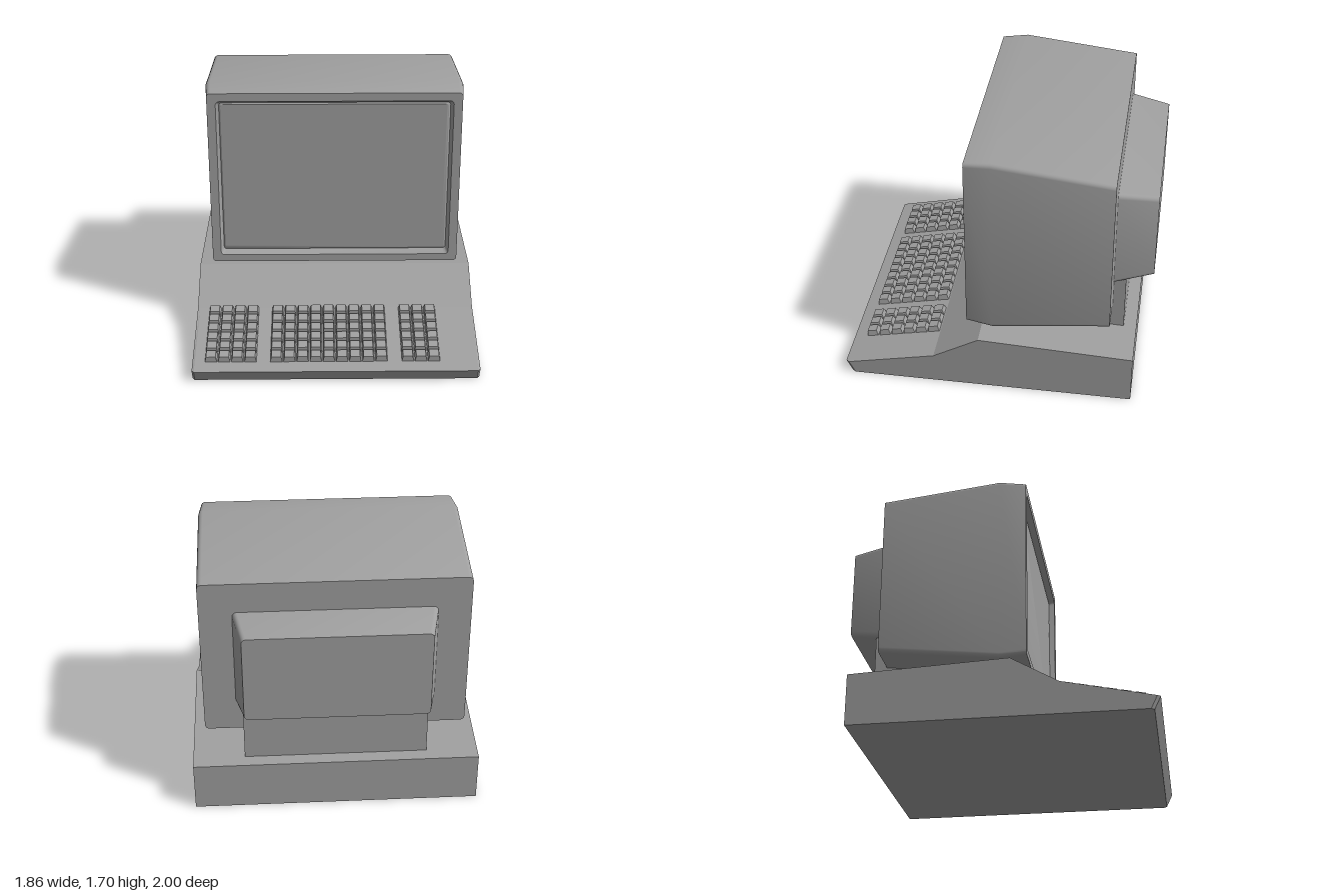
import * as THREE from 'three';
import { toCreasedNormals } from 'three/addons/utils/BufferGeometryUtils.js';

// Rounded rectangle ring, counter-clockwise seen from +z
function ring(halfW, y0, y1, r, z, steps = 4) {
  const pts = [];
  const corners = [[1, y0 + r, -90], [1, y1 - r, 0], [-1, y1 - r, 90], [-1, y0 + r, 180]];
  for (const [s, cy, start] of corners) {
    for (let i = 0; i <= steps; i++) {
      const a = THREE.MathUtils.degToRad(start + (90 * i) / steps);
      pts.push(new THREE.Vector3(s * (halfW - r) + r * Math.cos(a), cy + r * Math.sin(a), z));
    }
  }
  return pts;
}

// Skin over rings ordered from the front towards the back, with optional end caps
function loft(rings, capFront, capBack) {
  const v = [];
  const tri = (...p) => p.forEach((q) => v.push(q.x, q.y, q.z));
  const n = rings[0].length;
  for (let j = 0; j < n; j++) {
    const k = (j + 1) % n;
    for (let i = 0; i < rings.length - 1; i++) {
      const [A, B] = [rings[i], rings[i + 1]];
      tri(A[j], B[j], A[k]);
      tri(A[k], B[j], B[k]);
    }
    const first = rings[0], last = rings[rings.length - 1];
    if (capFront && j > 0 && j < n - 1) tri(first[0], first[j], first[k]);
    if (capBack && j > 0 && j < n - 1) tri(last[0], last[k], last[j]);
  }
  const g = new THREE.BufferGeometry();
  g.setAttribute('position', new THREE.Float32BufferAttribute(v, 3));
  return toCreasedNormals(g, 0.5);
}

export function createModel() {
  const model = new THREE.Group();
  model.name = 'computerTerminal';
  const grey = new THREE.MeshStandardMaterial({ color: 0xa0a0a0 });
  grey.name = 'grey';
  const add = (name, geometry, parent = model) => {
    const mesh = new THREE.Mesh(geometry, grey);
    mesh.name = name;
    parent.add(mesh);
    return mesh;
  };

  // Base: side profile (z, y) swept across x, front corners chamfered
  const profile = [[0.96, 0], [1, 0.083], [0.4, 0.21], [0.1, 0.383], [-0.91, 0.336], [-0.91, 0]];
  const shape = new THREE.Shape(profile.map(([z, y]) => new THREE.Vector2(z, y)));
  const base = new THREE.ExtrudeGeometry(shape, { depth: 3, steps: 3, bevelEnabled: false });
  base.translate(0, 0, -1.5).rotateY(-Math.PI / 2);
  const p = base.attributes.position;
  for (let i = 0; i < p.count; i++) {
    const x = p.getX(i);
    const end = Math.abs(x) > 1;
    p.setX(i, Math.sign(x) * (end ? 0.93 : 0.915));
    if (end && p.getZ(i) > 0.9) p.setZ(i, p.getZ(i) - 0.02);
  }
  base.computeVertexNormals();
  add('base', base);

  // Neck between base and monitor
  const neck = new THREE.BoxGeometry(1.19, 0.42, 0.845);
  neck.translate(0, 0.55, -0.4025);
  add('neck', neck);

  // Monitor
  const monitor = new THREE.Group();
  monitor.name = 'monitor';
  model.add(monitor);
  add('housing', loft([
    ring(0.757, 0.528, 1.6, 0.02, 0.145),
    ring(0.775, 0.505, 1.625, 0.025, 0.19),
    ring(0.832, 0.455, 1.68, 0.025, 0.19),
    ring(0.848, 0.431, 1.7, 0.03, 0.02),
    ring(0.846, 0.52, 1.615, 0.03, -0.745),
  ], false, true), monitor);
  add('screen', loft([
    ring(0.746, 0.54, 1.59, 0.02, 0.153),
    ring(0.757, 0.528, 1.6, 0.02, 0.145),
  ], true, false), monitor);
  add('rearHousing', loft([
    ring(0.64, 0.72, 1.412, 0.03, -0.74),
    ring(0.585, 0.775, 1.38, 0.03, -1),
  ], false, true), monitor);

  // Keyboard: three blocks of tapered keys on the sloping deck
  const keyboard = new THREE.Group();
  keyboard.name = 'keyboard';
  model.add(keyboard);
  const slope = Math.atan2(0.127, 0.6);
  const pitch = 0.0853;
  const key = new THREE.CylinderGeometry(0.031 * Math.SQRT2, 0.04 * Math.SQRT2, 0.042, 4, 1)
    .toNonIndexed();
  key.rotateY(Math.PI / 4).translate(0, 0.016, 0).rotateX(slope);
  key.computeVertexNormals();
  const blocks = [['leftKeys', -0.81, 4], ['mainKeys', -0.387, 9], ['rightKeys', 0.466, 3]];
  for (const [name, x0, columns] of blocks) {
    const block = new THREE.Group();
    block.name = name;
    keyboard.add(block);
    for (let c = 0; c < columns; c++) {
      for (let r = 0; r < 6; r++) {
        const z = 0.446 + r * pitch;
        const y = 0.21 - (z - 0.4) * Math.tan(slope);
        add('key', key, block).position.set(x0 + c * pitch, y, z);
      }
    }
  }
  return model;
}
